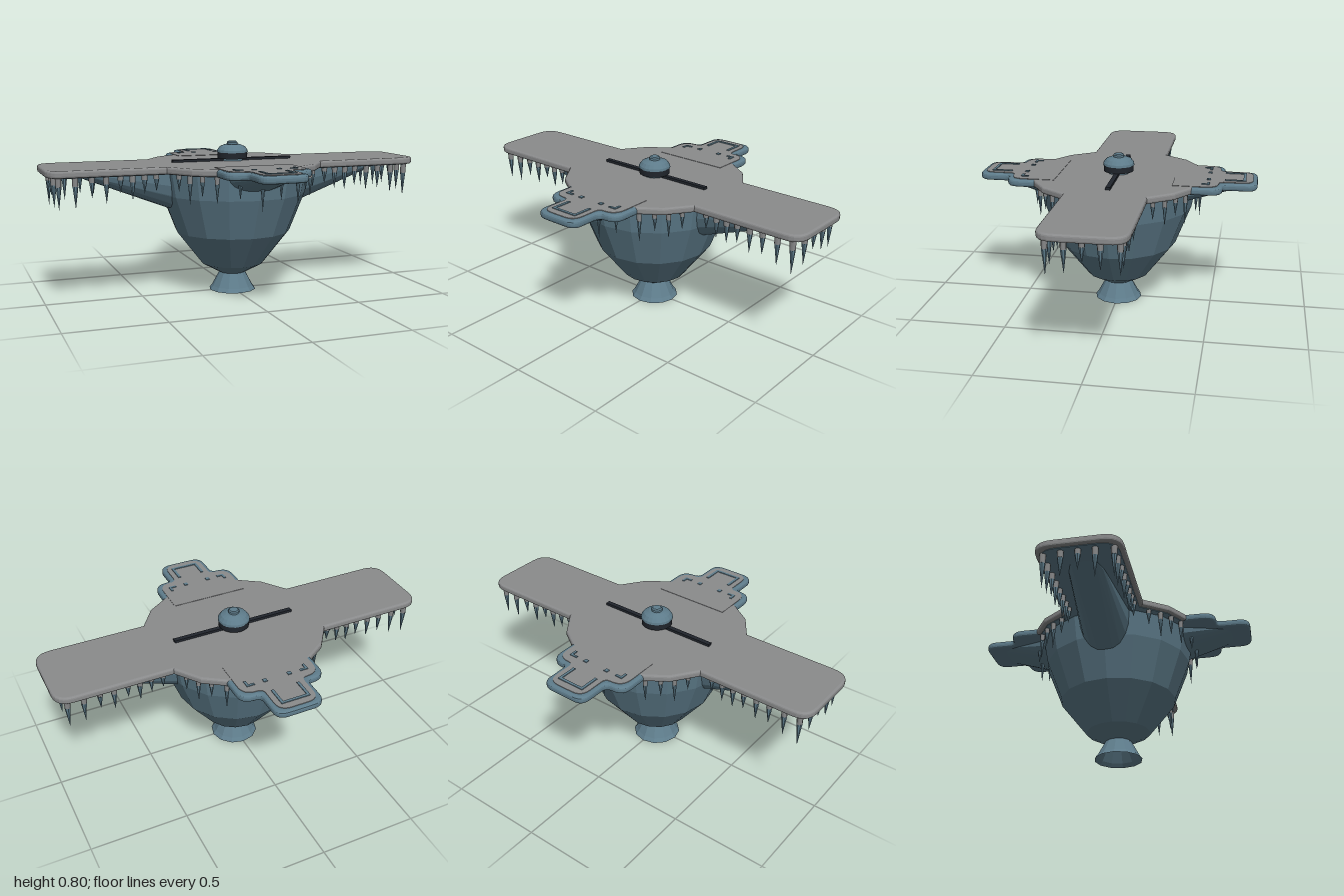
import * as THREE from 'three';
import { ConvexGeometry } from 'three/addons/geometries/ConvexGeometry.js';

const deckGrey = new THREE.MeshStandardMaterial({ name: 'deck grey', color: 0x8a8b8c });
const steelBlue = new THREE.MeshStandardMaterial({ name: 'steel blue', color: 0x5e7c8b, flatShading: true, side: THREE.DoubleSide });
const black = new THREE.MeshStandardMaterial({ name: 'black', color: 0x20252c });

function add(parent, name, geometry, material, x = 0, y = 0, z = 0) {
  const mesh = new THREE.Mesh(geometry, material);
  mesh.name = name;
  mesh.position.set(x, y, z);
  parent.add(mesh);
  return mesh;
}

// Closed outline with a corner radius per point: [x, z, radius]
function outline(points) {
  const shape = new THREE.Shape();
  const n = points.length;
  points.forEach(([x, z, r], i) => {
    const p = new THREE.Vector2(x, z);
    const toward = ([qx, qz]) => new THREE.Vector2(qx, qz).sub(p).setLength(r).add(p);
    const a = r ? toward(points[(i + n - 1) % n]) : p;
    if (i === 0) shape.moveTo(a.x, a.y); else shape.lineTo(a.x, a.y);
    if (r) {
      const b = toward(points[(i + 1) % n]);
      shape.quadraticCurveTo(p.x, p.y, b.x, b.y);
    }
  });
  shape.closePath();
  return shape;
}

// Horizontal bevelled plate hanging down from a top height
function plate(points, top, thickness, bevel) {
  const geometry = new THREE.ExtrudeGeometry(outline(points), {
    depth: thickness - 2 * bevel, bevelEnabled: bevel > 0, bevelThickness: bevel,
    bevelSize: bevel, bevelOffset: -bevel, bevelSegments: 3, curveSegments: 6,
  });
  return geometry.rotateX(Math.PI / 2).translate(0, top - bevel, 0);
}

// Wing pair merged with a sixteen-sided disc
function deckPoints(inset) {
  const R = 0.465 - inset, w = 0.205 - inset, end = 1 - inset;
  const points = [];
  for (const s of [1, -1]) {
    points.push([s * end, -s * w, 0.09], [s * end, s * w, 0.09], [s * Math.sqrt(R * R - w * w), s * w, 0]);
    for (let k = 2; k <= 6; k++) {
      const a = k * Math.PI / 8;
      points.push([s * R * Math.cos(a), s * R * Math.sin(a), 0]);
    }
    points.push([-s * Math.sqrt(R * R - w * w), s * w, 0]);
  }
  return points;
}

// Stepped landing platform, extending toward +z
function platformPoints(inset) {
  const a = 0.225 - inset, b = 0.125 - inset, z1 = 0.55 - inset, z2 = 0.72 - inset;
  return [[-a, 0.3, 0], [a, 0.3, 0], [a, z1, 0.07], [b, z1, 0.03], [b, z2, 0.06],
    [-b, z2, 0.06], [-b, z1, 0.03], [-a, z1, 0.07]];
}

// Tapered keel along +x: sections are [x, half width, depth]
function keel(sections, top) {
  const points = [];
  for (const [x, w, d] of sections) {
    for (let i = 0; i <= 10; i++) {
      const a = i * Math.PI / 10;
      points.push(new THREE.Vector3(x, top - d * Math.sin(a) ** 0.8, w * Math.cos(a)));
    }
  }
  return new ConvexGeometry(points);
}

// Hanging spike with a grey root and a long steel point
function spike(parent, x, z, length, radius = 0.016) {
  const root = length * 0.3;
  const group = new THREE.Group();
  group.name = 'hangingSpike';
  group.position.set(x, 0.662, z);
  add(group, 'spikeRoot', new THREE.CylinderGeometry(radius, radius * 0.9, root, 7, 1, true), deckGrey, 0, -root / 2);
  add(group, 'spikePoint', new THREE.ConeGeometry(radius * 0.9, length - root, 7, 1, true).rotateX(Math.PI), steelBlue,
    0, -(length + root) / 2);
  parent.add(group);
}

export function createModel() {
  const model = new THREE.Group();
  model.name = 'floatingPlatform';

  // Bowl hull and flared open foot
  const lathe = (points, sides) => new THREE.LatheGeometry(points.map(p => new THREE.Vector2(...p)), sides);
  add(model, 'hull', lathe([[0, 0.097], [0.07, 0.095], [0.166, 0.147], [0.305, 0.325], [0.385, 0.53], [0.41, 0.665]], 16), steelBlue);
  add(model, 'foot', lathe([[0.125, 0], [0.11, 0.02], [0.067, 0.1]], 12), steelBlue);

  // Deck with a steel underside
  add(model, 'deck', plate(deckPoints(0), 0.694, 0.036, 0.011), deckGrey);
  add(model, 'deckUnderside', plate(deckPoints(0.02), 0.66, 0.005, 0), steelBlue);

  // Keels under the wings
  for (const turn of [0, Math.PI]) {
    add(model, 'wingKeel', keel([[0.28, 0.14, 0.225], [0.36, 0.13, 0.2], [0.78, 0.085, 0.03], [0.86, 0.06, 0.004]], 0.66),
      steelBlue).rotation.y = turn;
  }

  // Front and back landing platforms
  for (const turn of [0, Math.PI]) {
    const platform = new THREE.Group();
    platform.name = 'landingPlatform';
    platform.rotation.y = turn;
    add(platform, 'platformRim', plate(platformPoints(0), 0.693, 0.038, 0.014), steelBlue);
    add(platform, 'platformTop', plate(platformPoints(0.022), 0.696, 0.006, 0), deckGrey);
    add(platform, 'platformKeel', keel([[0.3, 0.17, 0.11], [0.4, 0.15, 0.075], [0.58, 0.1, 0.012], [0.63, 0.07, 0.003]], 0.66),
      steelBlue).rotation.y = -Math.PI / 2;
    // Deck markings: [x, z, width, depth]
    const marks = [[0, 0.655, 0.15, 0.014]];
    for (const s of [-1, 1]) {
      marks.push([s * 0.068, 0.605, 0.014, 0.1], [s * 0.065, 0.475, 0.02, 0.02],
        [s * 0.157, 0.463, 0.012, 0.04], [s * 0.142, 0.477, 0.04, 0.012]);
    }
    for (const [x, z, w, d] of marks) {
      add(platform, 'deckMarking', new THREE.BoxGeometry(w, 0.006, d), steelBlue, x, 0.697, z);
    }
    model.add(platform);
  }

  // Spikes along the wing edges and wing tips
  const row = [[0.46, 0.09], [0.52, 0.12], [0.58, 0.13], [0.64, 0.11], [0.71, 0.14], [0.78, 0.13], [0.86, 0.16], [0.94, 0.18]];
  for (const sx of [-1, 1]) {
    for (const sz of [-1, 1]) {
      row.forEach(([x, length], i) => spike(model, sx * x, sz * 0.165, length - (i % 2 && sx !== sz ? 0.02 : 0)));
    }
    [[-0.08, 0.14], [0, 0.11], [0.08, 0.16]].forEach(([z, length]) => spike(model, sx * 0.95, z, length));
  }

  // Spikes around the disc
  for (const s of [-1, 1]) {
    [[32, 0.1], [41, 0.14], [50, 0.1], [60, 0.16], [76, 0.13], [90, 0.18], [105, 0.12], [120, 0.14],
      [130, 0.11], [139, 0.15], [148, 0.09]].forEach(([deg, length]) => {
      const a = deg * Math.PI / 180;
      spike(model, 0.427 * Math.cos(a), s * 0.427 * Math.sin(a), length, 0.013);
    });
  }

  // Long bar and central dome
  add(model, 'longBar', new THREE.BoxGeometry(0.66, 0.014, 0.024), black, 0, 0.7, 0);
  add(model, 'domeBase', new THREE.CylinderGeometry(0.055, 0.055, 0.018, 20), steelBlue, 0, 0.7, 0);
  add(model, 'domeBand', new THREE.CylinderGeometry(0.078, 0.078, 0.036, 24), black, 0, 0.724, 0);
  add(model, 'dome', lathe([[0.082, 0.738], [0.08, 0.75], [0.066, 0.768], [0.04, 0.779], [0, 0.78]], 20), steelBlue);
  add(model, 'domeCap', lathe([[0.028, 0.775], [0.028, 0.79], [0.022, 0.796], [0, 0.796]], 12), steelBlue);

  return model;
}
